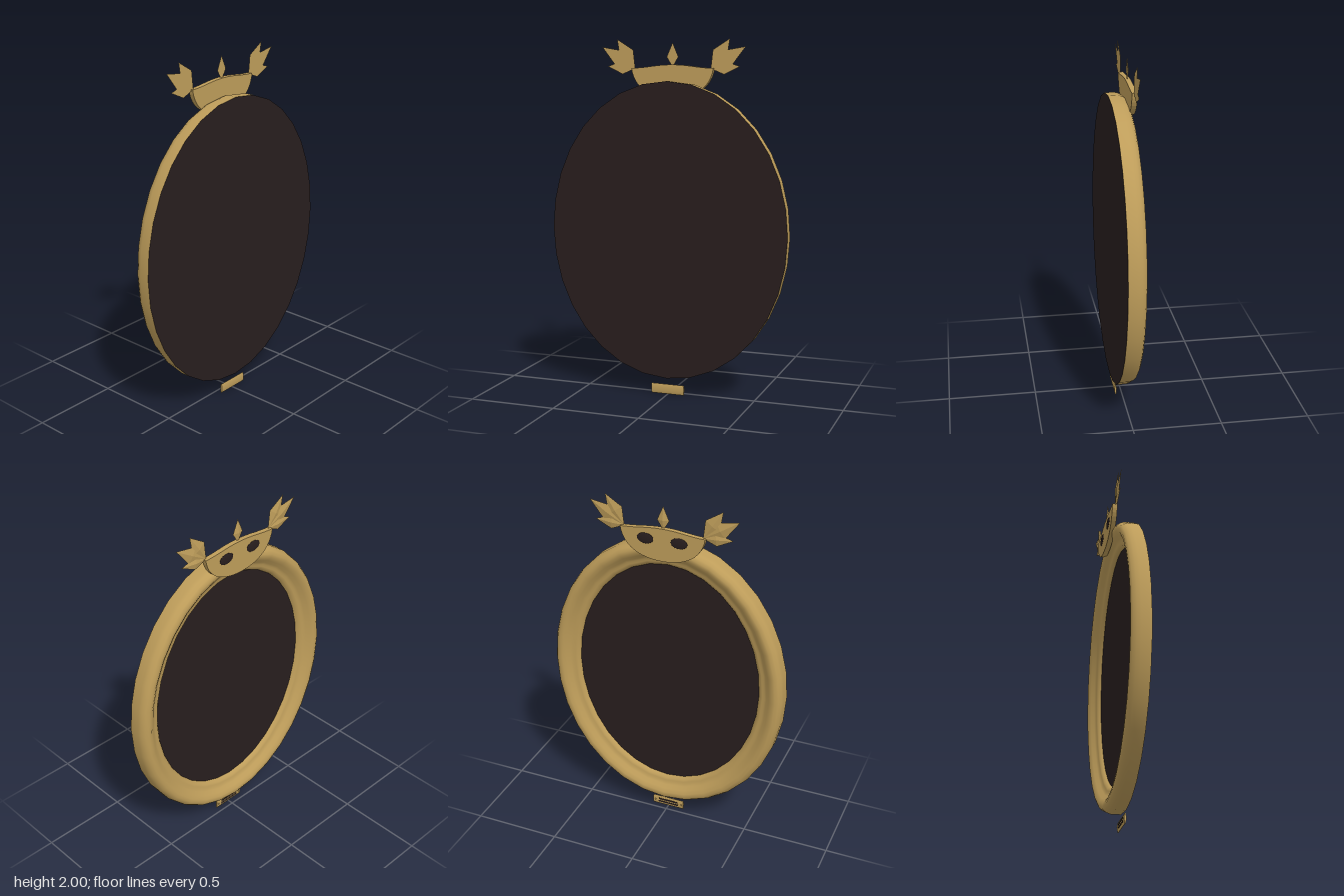
import * as THREE from 'three';

const gold = new THREE.MeshStandardMaterial({ color: 0xbe9d5a, side: THREE.DoubleSide });
gold.name = 'antique gold';
const dark = new THREE.MeshStandardMaterial({ color: 0x281e1e });
dark.name = 'dark glass';

// Inner oval opening; the moulding is offset outwards from it
const RX = 0.545, RY = 0.69, WIDTH = 0.146, CY = 0.934, SEGMENTS = 32;

function add(parent, name, geometry, material, x = 0, y = 0, z = 0) {
  const mesh = new THREE.Mesh(geometry, material);
  mesh.name = name;
  mesh.position.set(x, y, z);
  parent.add(mesh);
  return mesh;
}

// Points of the oval moved out along its normals
function ovalOutline(offset) {
  return Array.from({ length: SEGMENTS }, (_, i) => {
    const a = (i / SEGMENTS) * Math.PI * 2, c = Math.cos(a), s = Math.sin(a);
    const normal = new THREE.Vector2(c / RX, s / RY).normalize();
    return new THREE.Vector2(RX * c, RY * s).addScaledVector(normal, offset);
  });
}

// Sweeps a moulding profile of [inset, z] points round the oval
function ovalMoulding(profile) {
  const positions = [], index = [], n = SEGMENTS;
  profile.forEach(([inset, z], j) => {
    for (const p of ovalOutline(WIDTH - inset)) positions.push(p.x, p.y, z);
    if (j === 0) return;
    for (let i = 0; i < n; i++) {
      const next = (i + 1) % n, a = (j - 1) * n, b = j * n;
      index.push(a + i, b + i, a + next, a + next, b + i, b + next);
    }
  });
  const g = new THREE.BufferGeometry();
  g.setAttribute('position', new THREE.Float32BufferAttribute(positions, 3));
  g.setIndex(index);
  g.computeVertexNormals();
  return g;
}

// Kite-shaped leaf: flat on +z, with a raised ridge on -z
function leafGeometry(x0, y0, x1, y1, halfWidth, along) {
  const dx = x1 - x0, dy = y1 - y0, len = Math.hypot(dx, dy);
  const px = (-dy / len) * halfWidth, py = (dx / len) * halfWidth;
  const mx = x0 + dx * along, my = y0 + dy * along, z = -0.041;
  const base = [x0, y0, z], tip = [x1, y1, z];
  const a = [mx + px, my + py, z], b = [mx - px, my - py, z];
  const ridge = [mx, my, -0.05];
  const faces = [
    base, a, ridge, a, tip, ridge, tip, b, ridge, b, base, ridge,
    base, b, tip, base, tip, a,
  ];
  const g = new THREE.BufferGeometry();
  g.setAttribute('position', new THREE.Float32BufferAttribute(faces.flat(), 3));
  g.computeVertexNormals();
  return g;
}

export function createModel() {
  const model = new THREE.Group();
  model.name = 'ovalMirror';

  // Oval frame: outer wall, rounded crown, cove and inner bead
  const frame = ovalMoulding([
    [0, 0.061], [0, 0.005], [0.006, -0.016], [0.018, -0.034], [0.036, -0.043],
    [0.056, -0.041], [0.076, -0.028], [0.094, -0.012], [0.108, -0.004],
    [0.12, -0.003], [0.132, 0.002], [0.142, 0.012], [0.15, 0.026],
  ]);
  add(model, 'frame', frame, gold, 0, CY, 0);

  // Flat backing on the front side
  const backing = new THREE.ShapeGeometry(new THREE.Shape(ovalOutline(WIDTH)));
  add(model, 'backing', backing, dark, 0, CY, 0.061);

  // Recessed glass facing -z
  const glass = add(model, 'glass', new THREE.CircleGeometry(1, 64), dark, 0, CY, 0.02);
  glass.rotation.y = Math.PI;
  glass.scale.set(RX, RY, 1);

  // Crest: half-round plaque with a wavy top edge
  const crest = new THREE.Shape();
  crest.moveTo(-0.24, 1.84);
  crest.bezierCurveTo(-0.14, 1.842, -0.1, 1.859, 0, 1.859);
  crest.bezierCurveTo(0.1, 1.859, 0.14, 1.842, 0.24, 1.84);
  crest.bezierCurveTo(0.225, 1.73, 0.13, 1.675, 0, 1.675);
  crest.bezierCurveTo(-0.13, 1.675, -0.225, 1.73, -0.24, 1.84);
  const crestGeometry = new THREE.ExtrudeGeometry(crest, { depth: 0.029, bevelEnabled: false, curveSegments: 12 });
  add(model, 'crest', crestGeometry, gold, 0, 0, -0.058);

  // Centre finial
  add(model, 'finial', leafGeometry(0, 1.845, 0, 1.98, 0.034, 0.42), gold);

  // Side leaves and dark eye bosses
  const leaves = [
    [0.33, 2.0, 0.047, 0.47],
    [0.42, 1.957, 0.047, 0.48],
    [0.388, 1.85, 0.037, 0.44],
  ];
  for (const side of [1, -1]) {
    const name = side > 0 ? 'left' : 'right';
    for (const [x, y, width, along] of leaves) {
      add(model, name + 'Leaf', leafGeometry(side * 0.222, 1.838, side * x, y, width, along), gold);
    }
    const eye = add(model, name + 'Eye', new THREE.SphereGeometry(1, 20, 12), dark, side * 0.096, 1.793, -0.058);
    eye.scale.set(0.047, 0.03, 0.005);
  }

  // Small domed plate below, with dark engraved bars and pins on its -z side
  const plate = new THREE.Group();
  plate.name = 'plate';
  plate.position.set(0, 0.0285, 0.037);
  model.add(plate);
  const body = add(plate, 'plateBody', new THREE.CylinderGeometry(1, 1, 0.194, 32), gold);
  body.rotation.z = Math.PI / 2;
  body.scale.set(0.0285, 1, 0.006);
  add(plate, 'upperBar', new THREE.BoxGeometry(0.12, 0.01, 0.002), dark, 0, 0.009, -0.006);
  add(plate, 'lowerBar', new THREE.BoxGeometry(0.13, 0.01, 0.002), dark, 0, -0.008, -0.006);
  for (const side of [1, -1]) {
    add(plate, 'pin', new THREE.SphereGeometry(0.005, 10, 8), gold, side * 0.084, 0, -0.005);
  }
  return model;
}
